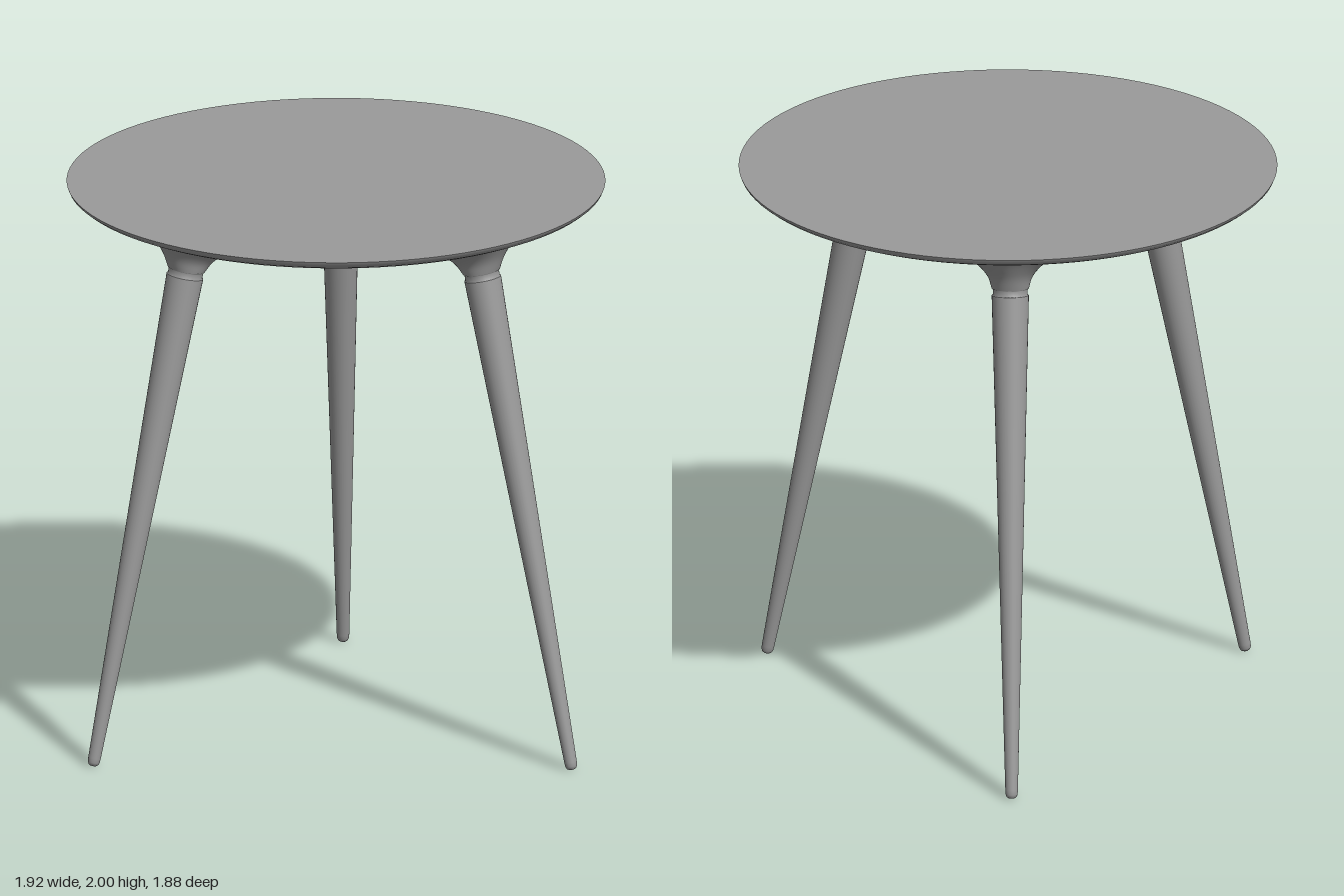
import * as THREE from 'three';

const material = new THREE.MeshStandardMaterial({ color: 0x9b9b9b });
const CENTER_X = 0.02;

function addMesh(parent, name, geometry) {
  const mesh = new THREE.Mesh(geometry, material);
  mesh.name = name;
  parent.add(mesh);
  return mesh;
}

const lathe = (points, sides) =>
  new THREE.LatheGeometry(points.map(([r, y]) => new THREE.Vector2(r, y)), sides);

// Flared bracket: skewed elliptical rings growing from the leg's neck to the table top
function bracketGeometry() {
  const curve = (points) =>
    new THREE.CatmullRomCurve3(points.map(([d, y, w = 0]) => new THREE.Vector3(d, y, w)));
  // outer edge: distance from table axis, height, half width of the ring
  const outer = curve([
    [0.659, 1.779, 0.065], [0.675, 1.825, 0.078], [0.694, 1.863, 0.108],
    [0.718, 1.903, 0.165], [0.742, 1.932, 0.22], [0.77, 1.952, 0.28],
  ]);
  // inner edge
  const inner = curve([
    [0.531, 1.753], [0.498, 1.787], [0.445, 1.818],
    [0.36, 1.86], [0.24, 1.905], [0.09, 1.952],
  ]);
  const rings = 24, sides = 48;
  const positions = [], indices = [];
  for (let i = 0; i <= rings; i++) {
    const o = outer.getPoint(i / rings), n = inner.getPoint(i / rings);
    for (let j = 0; j < sides; j++) {
      const t = (j / sides) * Math.PI * 2;
      const k = (1 + Math.cos(t)) / 2;
      positions.push(n.x + (o.x - n.x) * k, n.y + (o.y - n.y) * k, o.z * Math.sin(t));
      if (i === rings) continue;
      const a = i * sides + j, b = i * sides + ((j + 1) % sides);
      indices.push(a, a + sides, b, a + sides, b + sides, b);
    }
  }
  const geometry = new THREE.BufferGeometry();
  geometry.setAttribute('position', new THREE.Float32BufferAttribute(positions, 3));
  geometry.setIndex(indices);
  geometry.computeVertexNormals();
  return geometry;
}

export function createModel() {
  const model = new THREE.Group();
  model.name = 'roundTable';

  // Table top: flat disc with an underside that curves up to a thin rim
  const top = new THREE.Group();
  top.name = 'tableTop';
  top.position.x = CENTER_X;
  model.add(top);
  addMesh(top, 'topSurface', new THREE.CircleGeometry(0.94, 96).rotateX(-Math.PI / 2)).position.y = 2;
  addMesh(top, 'underside', lathe([
    [0, 1.948], [0.78, 1.948], [0.82, 1.95], [0.86, 1.956], [0.895, 1.965],
    [0.92, 1.976], [0.935, 1.988], [0.94, 2],
  ], 96));

  // Splayed leg, built along its own axis from foot to neck
  const foot = new THREE.Vector3(0.965, 0.003, 0);
  const neck = new THREE.Vector3(0.595, 1.766, 0);
  const axis = neck.clone().sub(foot);
  const length = axis.length();
  const tilt = new THREE.Quaternion().setFromUnitVectors(
    new THREE.Vector3(0, 1, 0), axis.normalize());
  const legGeometry = lathe([
    [0, 0], [0.011, 0.001], [0.017, 0.005], [0.021, 0.014], [0.022, 0.03],
    [0.065, length - 0.024],
  ], 32);
  // Narrow recess between leg and bracket
  const collarGeometry = lathe([
    [0.065, length - 0.024], [0.061, length - 0.022],
    [0.061, length - 0.003], [0.065, length],
  ], 32);
  const bracket = bracketGeometry();

  for (const angle of [Math.PI / 3, Math.PI, -Math.PI / 3]) {
    const unit = new THREE.Group();
    unit.name = 'legAssembly';
    unit.position.x = CENTER_X;
    unit.rotation.y = angle;
    model.add(unit);
    for (const [name, geometry] of [['leg', legGeometry], ['collar', collarGeometry]]) {
      const part = addMesh(unit, name, geometry);
      part.position.copy(foot);
      part.quaternion.copy(tilt);
    }
    addMesh(unit, 'bracket', bracket);
  }
  return model;
}
